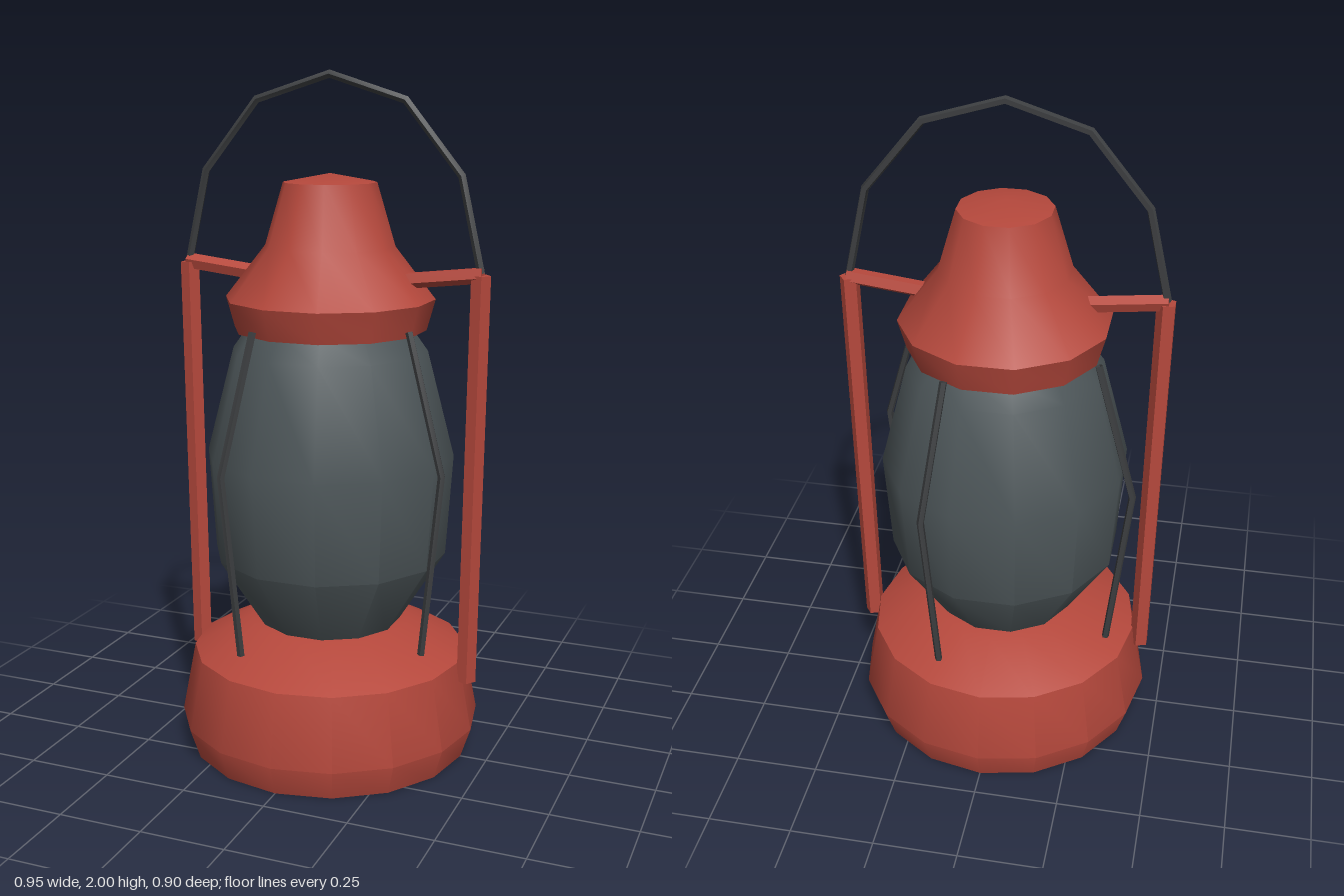
import * as THREE from 'three';
import { toCreasedNormals } from 'three/addons/utils/BufferGeometryUtils.js';

const red = new THREE.MeshStandardMaterial({ color: 0xb5483c });
const glass = new THREE.MeshStandardMaterial({ color: 0x4d5659 });
const wire = new THREE.MeshStandardMaterial({ color: 0x3c3e40, side: THREE.DoubleSide });

// Straight-sided path whose samples land on its corners, so a tube is mitred there
class Polyline extends THREE.Curve {
  constructor(points) {
    super();
    this.points = points;
  }
  getPoint(t, target = new THREE.Vector3()) {
    const n = this.points.length - 1;
    const i = Math.min(Math.floor(t * n), n - 1);
    return target.copy(this.points[i]).lerp(this.points[i + 1], t * n - i);
  }
  getPointAt(u, target) { return this.getPoint(u, target); }
  getTangentAt(u, target) { return this.getTangent(u, target); }
}

function named(name, geometry, material) {
  const mesh = new THREE.Mesh(geometry, material);
  mesh.name = name;
  return mesh;
}

// Faceted body of revolution, profile listed from bottom to top
function turned(name, profile, sides, material, start = 0) {
  const points = profile.map(([r, y]) => new THREE.Vector2(r, y));
  const geometry = new THREE.LatheGeometry(points, sides, start);
  return named(name, toCreasedNormals(geometry, 0.62), material);
}

function wireRod(name, points, radius) {
  const path = new Polyline(points.map(p => new THREE.Vector3(...p)));
  const tube = new THREE.TubeGeometry(path, points.length - 1, radius, 5);
  return named(name, toCreasedNormals(tube, 0.6), wire);
}

// Five-sided bar between two points
function bar(name, a, b, radius) {
  const from = new THREE.Vector3(...a), to = new THREE.Vector3(...b);
  const dir = to.clone().sub(from);
  const geometry = new THREE.CylinderGeometry(radius, radius, dir.length(), 5, 1, false, Math.PI / 2);
  const mesh = named(name, toCreasedNormals(geometry, 0.6), red);
  mesh.position.copy(from).add(to).multiplyScalar(0.5);
  mesh.quaternion.setFromUnitVectors(new THREE.Vector3(0, 1, 0), dir.normalize());
  return mesh;
}

export function createModel() {
  const lantern = new THREE.Group();
  lantern.name = 'lantern';
  const turn = Math.PI / 12;

  // Fuel tank, glass globe and chimney cap
  lantern.add(
    turned('base', [[0, 0], [0.42, 0], [0.45, 0.09], [0.41, 0.3], [0.24, 0.39], [0, 0.39]], 16, red),
    turned('globe', [[0, 0.38], [0.205, 0.38], [0.345, 0.6], [0.365, 0.9], [0.285, 1.21], [0.235, 1.28]], 12, glass, turn),
    turned('cap', [[0, 1.27], [0.28, 1.27], [0.305, 1.36], [0.188, 1.51], [0.135, 1.69], [0, 1.715]], 12, red, turn),
  );

  // Side posts with arms reaching in to the cap
  for (const side of [1, -1]) {
    lantern.add(
      bar('sidePost', [0.432 * side, 0.245, 0], [0.449 * side, 1.445, 0], 0.029),
      bar('capArm', [0.22 * side, 1.42, 0], [0.455 * side, 1.447, 0], 0.024),
    );
  }

  // Guard wires around the globe
  for (let i = 0; i < 4; i++) {
    const a = THREE.MathUtils.degToRad(22.5 + 90 * i);
    const points = [[0.365, 0.365], [0.43, 0.905], [0.305, 1.295]]
      .map(([r, y]) => [r * Math.cos(a), y, r * Math.sin(a)]);
    lantern.add(wireRod('guardWire', points, 0.011));
  }

  // Carrying handle
  const half = [[0.45, 1.45], [0.39, 1.715], [0.225, 1.918]];
  const arc = [
    ...half.map(([x, y]) => [-x, y, 0]),
    [0, 1.988, 0],
    ...half.map(([x, y]) => [x, y, 0]).reverse(),
  ];
  lantern.add(wireRod('handle', arc, 0.012));

  return lantern;
}
